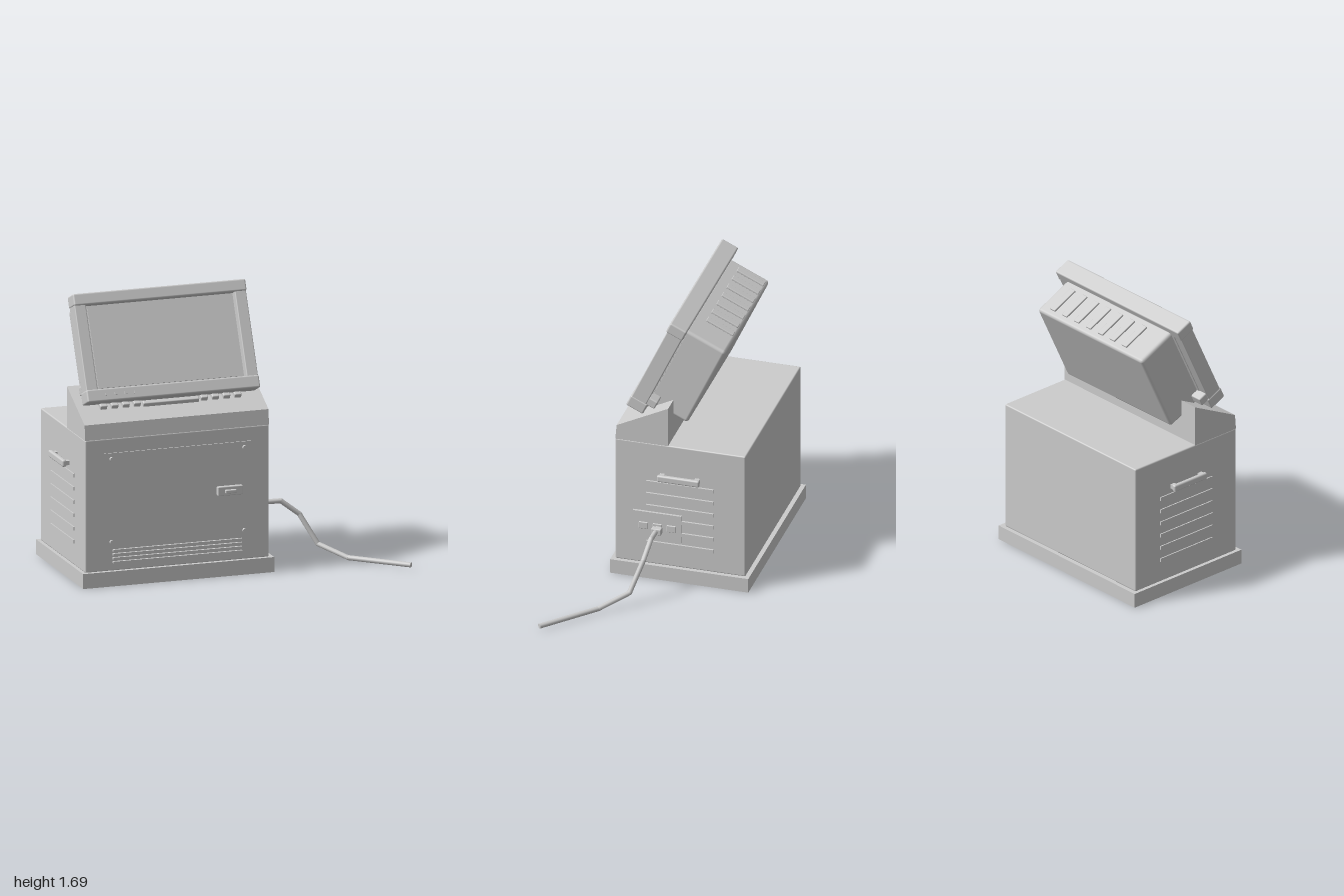
import * as THREE from 'three';
import { RoundedBoxGeometry } from 'three/addons/geometries/RoundedBoxGeometry.js';

const CX = -0.38; // centre line of the cabinet

export function createModel() {
  const model = new THREE.Group();
  model.name = 'consoleTerminal';
  const mat = new THREE.MeshStandardMaterial({ color: 0xcccccc });

  function add(parent, name, geometry, x = 0, y = 0, z = 0) {
    const mesh = new THREE.Mesh(geometry, mat);
    mesh.name = name;
    mesh.position.set(x, y, z);
    parent.add(mesh);
    return mesh;
  }
  // Box given by its limits; r rounds the edges
  function box(parent, name, [x0, x1], [y0, y1], [z0, z1], r = 0) {
    const s = [x1 - x0, y1 - y0, z1 - z0];
    const g = r ? new RoundedBoxGeometry(...s, 2, r) : new THREE.BoxGeometry(...s);
    return add(parent, name, g, (x0 + x1) / 2, (y0 + y1) / 2, (z0 + z1) / 2);
  }
  function group(name, x, y, z) {
    const g = new THREE.Group();
    g.name = name;
    g.position.set(x, y, z);
    model.add(g);
    return g;
  }

  // Plinth, open underneath
  const rect = (P, w, d) => new P([
    new THREE.Vector2(-w, -d), new THREE.Vector2(w, -d),
    new THREE.Vector2(w, d), new THREE.Vector2(-w, d)]);
  const ring = rect(THREE.Shape, 0.59, 0.42);
  ring.holes.push(rect(THREE.Path, 0.584, 0.414));
  const ringGeo = new THREE.ExtrudeGeometry(ring, { depth: 0.09, bevelEnabled: false });
  ringGeo.rotateX(-Math.PI / 2);
  add(model, 'plinthWalls', ringGeo, CX, 0, -0.11);
  box(model, 'plinthTop', [-0.97, 0.21], [0.082, 0.09], [-0.53, 0.31]);

  // Cabinet
  box(model, 'cabinet', [-0.95, 0.185], [0.088, 0.887], [-0.505, 0.287], 0.008);

  // Front door with screws, latch and lower grille
  box(model, 'door', [-0.835, 0.075], [0.235, 0.8], [0.28, 0.294]);
  for (const x of [-0.79, 0.03]) for (const y of [0.265, 0.765]) {
    const g = new THREE.CylinderGeometry(0.013, 0.013, 0.022, 12).rotateX(Math.PI / 2);
    add(model, 'doorScrew', g, x, y, 0.299);
  }
  box(model, 'latchPlate', [-0.14, 0.015], [0.488, 0.543], [0.285, 0.318], 0.005);
  box(model, 'latchHandle', [-0.098, -0.03], [0.505, 0.525], [0.31, 0.337], 0.004);
  for (let i = 0; i < 4; i++) {
    const y = 0.14 + i * 0.024;
    box(model, 'frontGrilleBar', [-0.78, 0.015], [y - 0.006, y + 0.006], [0.28, 0.302]);
  }

  // Side louvres and carrying handles, mirrored
  for (const s of [-1, 1]) {
    const side = group(s > 0 ? 'leftSide' : 'rightSide', CX + s * 0.565, 0, 0);
    const span = (a, b) => (s > 0 ? [a, b] : [-b, -a]);
    for (let i = 0; i < 6; i++) {
      const y = 0.23 + i * 0.08;
      box(side, 'louvre', span(-0.01, 0.012), [y - 0.011, y + 0.011], [-0.312, 0.097]);
    }
    box(side, 'handleBar', span(0.025, 0.052), [0.664, 0.706], [-0.237, 0.02], 0.01);
    for (const z of [-0.215, -0.002])
      box(side, 'handleMount', span(-0.01, 0.04), [0.672, 0.698], [z - 0.015, z + 0.015]);
  }

  // Socket panel, plug and power cable
  box(model, 'socketPanel', [0.18, 0.2], [0.255, 0.435], [-0.12, 0.175]);
  for (const z of [0.11, 0.025, -0.06])
    box(model, 'socket', [0.19, 0.207], [0.323, 0.367], [z - 0.028, z + 0.028], 0.004);
  box(model, 'plugPin', [0.2, 0.23], [0.336, 0.354], [0.01, 0.03]);
  box(model, 'plug', [0.228, 0.266], [0.323, 0.365], [-0.014, 0.046], 0.005);
  const path = [[0.255, 0.345, 0.018], [0.35, 0.345, 0.02], [0.46, 0.26, 0.033],
    [0.555, 0.085, 0.09], [0.69, 0.027, 0.24], [0.985, 0.025, 0.51]]
    .map(p => new THREE.Vector3(...p));
  for (let i = 1; i < path.length; i++) {
    const dir = path[i].clone().sub(path[i - 1]);
    const mid = path[i].clone().add(path[i - 1]).multiplyScalar(0.5);
    const seg = add(model, 'cableSegment',
      new THREE.CylinderGeometry(0.015, 0.015, dir.length(), 10), mid.x, mid.y, mid.z);
    seg.quaternion.setFromUnitVectors(new THREE.Vector3(0, 1, 0), dir.normalize());
    if (i < path.length - 1)
      add(model, 'cableBend', new THREE.SphereGeometry(0.015, 10, 8), ...path[i].toArray());
  }

  // Sloping desk: side profile (z, y) extruded across the width
  const profile = new THREE.Shape([[0.286, 0.885], [0.278, 0.977], [-0.035, 1.135], [-0.035, 0.885]]
    .map(([z, y]) => new THREE.Vector2(-z, y)));
  const desk = new THREE.ExtrudeGeometry(profile, { depth: 1.135, bevelEnabled: false });
  desk.rotateY(Math.PI / 2);
  add(model, 'slopingDesk', desk, -0.95, 0, 0);

  // Keys laid on the slope
  const keys = group('keyboard', CX, 1.041, 0.15);
  keys.rotation.x = Math.atan2(0.158, 0.313);
  const key = (name, x, z, w, d) =>
    box(keys, name, [x - w / 2, x + w / 2], [-0.01, 0.026], [z - d / 2, z + d / 2], 0.006);
  for (let i = 0; i < 13; i++) {
    const middle = i > 3 && i < 9;
    key('key', (i - 6) * 0.069, middle ? -0.035 : -0.005, 0.043, middle ? 0.03 : 0.05);
  }
  key('longKey', 0, 0.012, 0.345, 0.03);

  // Monitor, leaning back; origin at the lower front edge of its frame
  const monitor = group('monitor', CX, 1.1, 0.23);
  monitor.rotation.x = -THREE.MathUtils.degToRad(25);
  box(monitor, 'frameTop', [-0.533, 0.533], [0.577, 0.647], [-0.105, 0.005], 0.01);
  box(monitor, 'frameBottom', [-0.533, 0.533], [0, 0.075], [-0.11, 0.003], 0.01);
  for (const s of [-1, 1]) {
    const x = s * 0.495;
    box(monitor, 'frameSide', [x - 0.035, x + 0.035], [0.06, 0.59], [-0.1, -0.003], 0.006);
    const k = s * 0.485;
    box(monitor, 'pivotKnob', [k - 0.04, k + 0.04], [0.065, 0.118], [-0.155, -0.095], 0.008);
  }
  box(monitor, 'screenSurround', [-0.47, 0.47], [0.06, 0.59], [-0.105, -0.053]);
  box(monitor, 'screen', [-0.44, 0.44], [0.085, 0.56], [-0.07, -0.046]);
  for (let i = 0; i < 4; i++) {
    const x = -0.415 + i * 0.06;
    box(monitor, 'indicator', [x - 0.008, x + 0.008], [0.03, 0.046], [-0.005, 0.013]);
  }
  box(monitor, 'rearHousing', [-0.453, 0.453], [0.047, 0.607], [-0.36, -0.09], 0.02);
  // Raised vent strips over the rear housing
  for (let i = 0; i < 7; i++) {
    const x = (i - 3) * 0.1035;
    box(monitor, 'ventStrip', [x - 0.022, x + 0.022], [0.651, 0.664], [-0.345, -0.165], 0.004);
  }
  return model;
}
